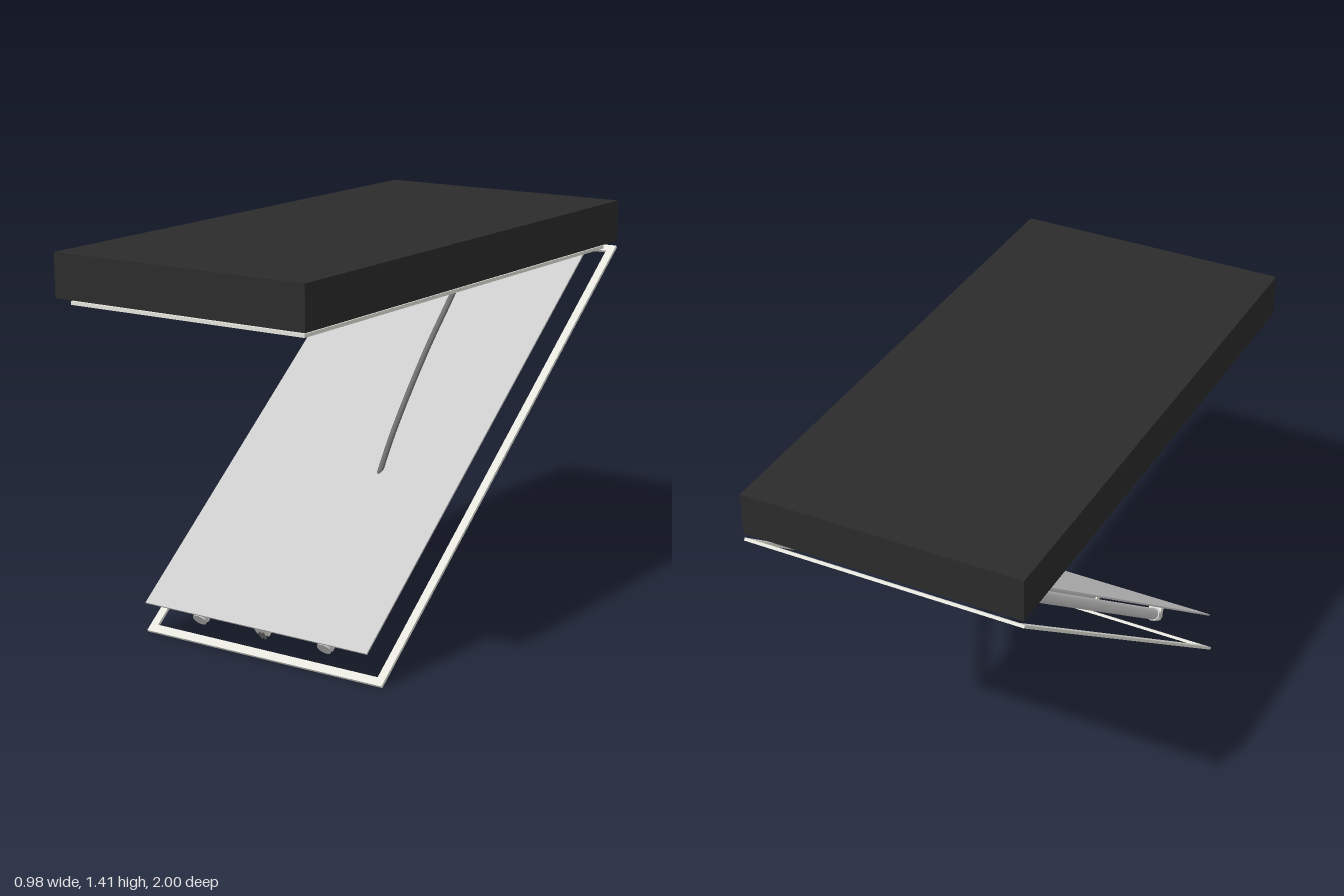
import * as THREE from 'three';

const mat = (color) => new THREE.MeshStandardMaterial({ color });
const grey = mat(0xcccccc);
const black = mat(0x2b2b2b);
const ivory = mat(0xe4e4dc);
const dark = mat(0x707070);

function add(parent, name, geometry, material, x = 0, y = 0, z = 0) {
  const mesh = new THREE.Mesh(geometry, material);
  mesh.name = name;
  mesh.position.set(x, y, z);
  parent.add(mesh);
  return mesh;
}

// Flat rectangular frame lying in the xz plane, centred on its thickness
function frameGeometry(width, length, bar, thickness) {
  const rect = (path, w, l) => {
    path.moveTo(-w / 2, -l / 2);
    path.lineTo(w / 2, -l / 2);
    path.lineTo(w / 2, l / 2);
    path.lineTo(-w / 2, l / 2);
    path.closePath();
    return path;
  };
  const shape = rect(new THREE.Shape(), width, length);
  shape.holes.push(rect(new THREE.Path(), width - 2 * bar, length - 2 * bar));
  const g = new THREE.ExtrudeGeometry(shape, { depth: thickness, bevelEnabled: false });
  return g.translate(0, 0, -thickness / 2).rotateX(-Math.PI / 2);
}

const rod = (radius, length) => new THREE.CylinderGeometry(radius, radius, length, 24).rotateX(Math.PI / 2);

// Lamp holder with a round cap; end is +1 for the low end, -1 for the hinge end
function addHolder(parent, x, end, capped) {
  const holder = new THREE.Group();
  holder.name = 'lampHolder';
  holder.position.set(x, 0, end * 0.925);
  add(holder, 'holderBlock', new THREE.BoxGeometry(0.05, 0.065, 0.03), ivory, 0, 0.083, 0);
  if (capped) {
    add(holder, 'endCap', rod(0.026, 0.045), grey, 0, 0.066, 0);
  } else {
    for (const s of [-1, 1]) {
      add(holder, 'contactPin', new THREE.BoxGeometry(0.006, 0.035, 0.008), dark, s * 0.007, 0.055, end * 0.018);
    }
  }
  parent.add(holder);
}

export function createModel() {
  const model = new THREE.Group();
  model.name = 'hingedLightFixture';

  // Housing and the gasket frame below it
  add(model, 'housing', new THREE.BoxGeometry(0.98, 0.15, 2), black, 0, 1.335, 0);
  add(model, 'gasketFrame', frameGeometry(0.92, 1.91, 0.022, 0.012), ivory, 0, 1.241, 0.005);
  add(model, 'gasketLip', frameGeometry(0.9, 1.89, 0.015, 0.006), ivory, 0, 1.253, 0.005);

  // Swung-down door assembly; its local z runs down the slope
  const door = new THREE.Group();
  door.name = 'door';
  door.position.set(0, 0.623, -0.21);
  door.rotation.x = 0.663;
  model.add(door);

  add(door, 'doorFrame', frameGeometry(0.98, 2, 0.03, 0.01), ivory);
  add(door, 'reflectorPanel', new THREE.BoxGeometry(0.92, 0.006, 1.91), grey, 0, 0.122, 0.005);

  // Two long tubes and a short one between them
  for (const x of [-0.26, 0.26]) {
    add(door, 'longTube', rod(0.022, 1.84), grey, x, 0.066, 0);
    addHolder(door, x, 1, true);
    addHolder(door, x, -1, true);
  }
  add(door, 'shortTube', rod(0.02, 0.85), grey, 0, 0.07, 0.49);
  addHolder(door, 0, 1, false);
  addHolder(door, 0, -1, false);

  // Cable from the housing through the panel
  const path = new THREE.CatmullRomCurve3([
    new THREE.Vector3(0.133, 0.5, 0.087),
    new THREE.Vector3(0.16, 0.7, 0.005),
    new THREE.Vector3(0.183, 0.95, -0.16),
    new THREE.Vector3(0.187, 1.12, -0.32),
    new THREE.Vector3(0.18, 1.28, -0.49),
  ]);
  const cable = add(model, 'cable', new THREE.TubeGeometry(path, 32, 0.01, 10), dark);
  cable.material = dark;
  const end = add(model, 'cableEnd', new THREE.SphereGeometry(0.01, 10, 8), dark);
  end.position.copy(path.getPoint(0));

  return model;
}
